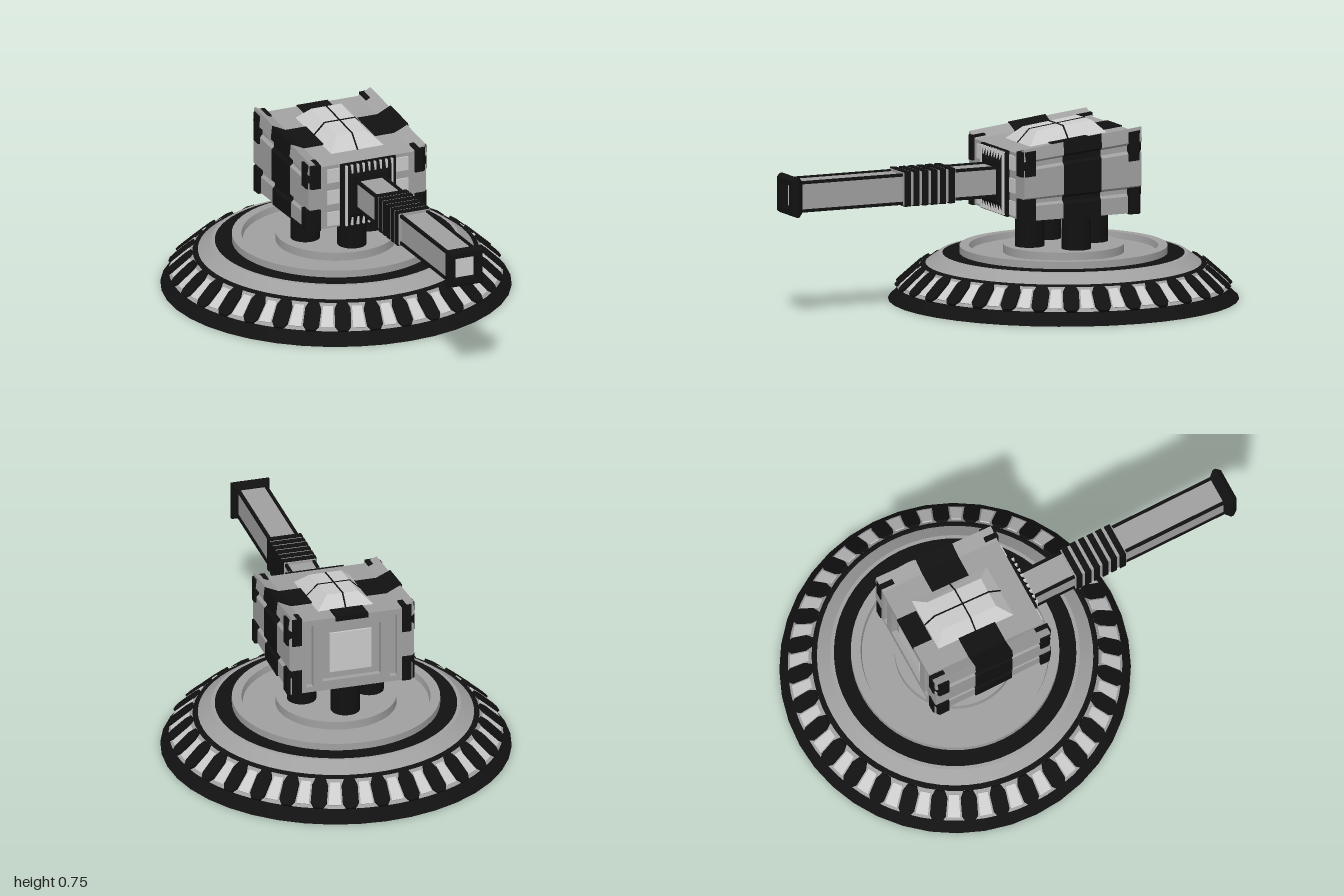
import * as THREE from 'three';
import { toCreasedNormals } from 'three/addons/utils/BufferGeometryUtils.js';

const paint = (color) => new THREE.MeshStandardMaterial({ color, flatShading: true });
const smooth = (color) => new THREE.MeshStandardMaterial({ color });
const GREY = paint(0xa0a0a0), LIGHT = paint(0xcccccc), BLACK = paint(0x111111);
const GREY_S = smooth(0xa0a0a0), BLACK_S = smooth(0x111111);
const CENTER = -0.275;

function add(parent, name, geo, mat) {
  const m = new THREE.Mesh(geo, mat);
  m.name = name;
  parent.add(m);
  return m;
}

// Box given by its limits
const block = (x0, x1, y0, y1, z0, z1) =>
  new THREE.BoxGeometry(x1 - x0, y1 - y0, z1 - z0)
    .translate((x0 + x1) / 2, (y0 + y1) / 2, (z0 + z1) / 2);

// Box whose upper face has its own limits
function frustum([x0, x1, z0, z1], [u0, u1, w0, w1], y0, y1) {
  const g = new THREE.BoxGeometry(1, 1, 1), p = g.attributes.position;
  for (let i = 0; i < p.count; i++) {
    const top = p.getY(i) > 0, r = p.getX(i) > 0, f = p.getZ(i) > 0;
    p.setXYZ(i, top ? (r ? u1 : u0) : (r ? x1 : x0), top ? y1 : y0,
      top ? (f ? w1 : w0) : (f ? z1 : z0));
  }
  g.computeVertexNormals();
  return g;
}

// The housing grows taller towards the back
function bend(g) {
  const p = g.attributes.position;
  for (let i = 0; i < p.count; i++) {
    const t = (0.03 - p.getZ(i)) / 0.53;
    p.setY(i, 0.38 + (p.getY(i) - 0.38) * (1 + 0.2 * t));
  }
  g.computeVertexNormals();
  return g;
}

const polygon = (pts) => new THREE.Shape(pts.map(([x, y]) => new THREE.Vector2(x, y)));
const rectHole = (x0, x1, y0, y1) =>
  new THREE.Path([[x0, y0], [x0, y1], [x1, y1], [x1, y0]].map((q) => new THREE.Vector2(...q)));
const extrude = (shape, z0, z1) =>
  new THREE.ExtrudeGeometry(shape, { depth: z1 - z0, bevelEnabled: false }).translate(0, 0, z0);
const lathe = (pts, seg, angle = 0.45) => toCreasedNormals(
  new THREE.LatheGeometry(pts.map(([x, y]) => new THREE.Vector2(x, y)), seg), angle);

// Housing cross-section, right half, mirrored
function housingShape(sx = 1, sy = 1) {
  const half = [[0.262, 0.38], [0.262, 0.44], [0.252, 0.45], [0.252, 0.465], [0.267, 0.475],
    [0.267, 0.59], [0.255, 0.6], [0.255, 0.62], [0.27, 0.63], [0.264, 0.68], [0.205, 0.655]]
    .map(([x, y]) => [x * sx, 0.38 + (y - 0.38) * sy - (sy - 1) * 0.15]);
  return polygon([...half, ...half.map(([x, y]) => [-x, y]).reverse()]);
}

function makeBase() {
  const g = new THREE.Group();
  g.name = 'base';
  g.position.z = CENTER;
  add(g, 'skirt', lathe([[0, 0], [0.725, 0], [0.665, 0.055]], 40, 0.3), BLACK_S);
  add(g, 'slopedRing', lathe([[0.66, 0.05], [0.69, 0.055], [0.592, 0.143]], 64), GREY_S);
  add(g, 'blackLip', lathe([[0.592, 0.143], [0.585, 0.148], [0.57, 0.15]], 64), BLACK_S);
  add(g, 'upperSlope', lathe([[0.57, 0.15], [0.515, 0.19], [0.5, 0.191]], 64), GREY_S);
  add(g, 'blackBand', lathe([[0.5, 0.191], [0.425, 0.192]], 64), BLACK_S);
  add(g, 'turntable', lathe([[0.43, 0.19], [0.43, 0.222], [0.39, 0.222], [0.385, 0.195],
    [0.25, 0.195], [0.25, 0.23], [0, 0.23]], 64), GREY_S);

  // Alternating black lugs and light panels around the slope
  const lug = extrude(polygon([[-0.02, -0.066], [0.02, -0.066], [0.033, -0.045], [0.033, 0.035],
    [0.02, 0.066], [-0.02, 0.066], [-0.033, 0.035], [-0.033, -0.045]]), -0.006, 0.01);
  const panel = extrude(polygon([[-0.026, -0.05], [0.026, -0.05], [0.02, 0.05], [-0.02, 0.05]]),
    -0.006, 0.004);
  for (let i = 0; i < 64; i++) {
    const holder = new THREE.Group();
    holder.name = i % 2 ? 'slopePanel' : 'slopeLug';
    holder.rotation.y = (i / 64) * Math.PI * 2;
    const m = add(holder, holder.name, i % 2 ? panel : lug, i % 2 ? LIGHT : BLACK);
    m.position.set(0, 0.099, 0.641);
    m.rotation.x = -0.84;
    g.add(holder);
  }
  // Four pillars in a diamond
  for (let i = 0; i < 4; i++) {
    const a = (i * Math.PI) / 2;
    add(g, 'pillar', new THREE.CylinderGeometry(0.061, 0.061, 0.17, 24), BLACK_S)
      .position.set(0.145 * Math.sin(a), 0.305, 0.01 + 0.145 * Math.cos(a));
  }
  return g;
}

function makeHousing() {
  const g = new THREE.Group();
  g.name = 'housing';
  add(g, 'shell', bend(extrude(housingShape(), -0.48, 0.03)), GREY);
  add(g, 'blackStripe', bend(extrude(housingShape(1.022, 1.03), -0.32, -0.15)), BLACK);

  // Back frame with a recessed panel and side slots
  const frame = housingShape();
  frame.holes.push(rectHole(-0.125, 0.125, 0.415, 0.615));
  for (const s of [-1, 1]) {
    const [a, b] = [s * 0.165, s * 0.195].sort((p, q) => p - q);
    frame.holes.push(rectHole(a, b, 0.4, 0.635));
  }
  add(g, 'backFrame', bend(extrude(frame, -0.505, -0.48)), GREY);
  add(g, 'backPanel', bend(block(-0.09, 0.09, 0.44, 0.59, -0.49, -0.475)), LIGHT);
  add(g, 'roofBackPatch', bend(frustum([-0.07, 0.07, -0.508, -0.42],
    [-0.07, 0.07, -0.508, -0.42], 0.64, 0.659)), BLACK);

  // Roof hatch with a dark cross
  add(g, 'roofHatch', bend(frustum([-0.125, 0.125, -0.42, -0.06],
    [-0.068, 0.068, -0.37, -0.12], 0.65, 0.7)), LIGHT);
  add(g, 'hatchSeamLong', bend(frustum([-0.003, 0.003, -0.423, -0.057],
    [-0.003, 0.003, -0.372, -0.118], 0.65, 0.702)), BLACK);
  add(g, 'hatchSeamCross', bend(frustum([-0.128, 0.128, -0.243, -0.237],
    [-0.07, 0.07, -0.243, -0.237], 0.65, 0.702)), BLACK);

  // Corner guards, mirrored; each a prism with one cut corner
  for (const s of [-1, 1]) {
    for (const [zIn, zOut] of [[-0.02, 0.04], [-0.445, -0.51]]) {
      const d = Math.sign(zOut - zIn);
      const pts = [[0.215, zOut], [0.25, zOut], [0.275, zOut - d * 0.02], [0.275, zIn], [0.215, zIn]]
        .map(([x, z]) => [s * x, -z]);
      for (const [y0, y1] of [[0.378, 0.47], [0.565, 0.668]]) {
        const geo = extrude(polygon(pts), y0, y1).rotateX(-Math.PI / 2);
        add(g, 'cornerGuard', bend(geo), BLACK);
      }
    }
    for (const y of [0.42, 0.515, 0.61])
      add(g, 'frontPanel', block(s * 0.157 - 0.027, s * 0.157 + 0.027, y - 0.03, y + 0.03, 0.02, 0.036), LIGHT);
  }

  // Collar around the barrel root with upright bars
  add(g, 'collar', block(-0.125, 0.125, 0.38, 0.655, 0.02, 0.042), BLACK);
  add(g, 'collarBoss', frustum([-0.12, 0.12, -0.655, -0.38], [-0.08, 0.08, -0.6, -0.435], 0.04, 0.06)
    .rotateX(Math.PI / 2).translate(0, 0, 0), BLACK);
  for (let i = -4; i <= 4; i++) {
    const x = i * 0.026, outer = Math.abs(i) === 4;
    const spans = outer ? [[0.385, 0.65]] : [[0.385, 0.44], [0.598, 0.65]];
    for (const [y0, y1] of spans)
      add(g, 'collarBar', block(x - 0.004, x + 0.004, y0, y1, 0.03, 0.055), LIGHT);
  }
  return g;
}

function makeBarrel() {
  const g = new THREE.Group();
  g.name = 'barrel';
  g.position.y = 0.518;
  add(g, 'barrelCore', block(-0.058, 0.058, -0.058, 0.058, 0.02, 0.955), GREY);
  add(g, 'boreEnd', block(-0.05, 0.05, -0.05, 0.05, 0.9, 0.958), LIGHT);
  for (const x of [-1, 1]) for (const y of [-1, 1])
    add(g, 'edgeRail', block(x * 0.059 - 0.006, x * 0.059 + 0.006,
      y * 0.059 - 0.006, y * 0.059 + 0.006, 0.03, 0.955), BLACK);
  // Ribbed sleeve
  add(g, 'sleeve', block(-0.068, 0.068, -0.068, 0.068, 0.25, 0.487), GREY);
  for (let i = 0; i < 6; i++) {
    const z = 0.268 + i * 0.0402;
    add(g, 'sleeveRib', block(-0.073, 0.073, -0.073, 0.073, z - 0.013, z + 0.013), BLACK);
  }
  // Hollow square muzzle
  const R = Math.SQRT2;
  const ring = [[0.05, 0.945], [0.064, 0.945], [0.082, 0.968], [0.082, 0.98], [0.07, 1],
    [0.05, 1], [0.05, 0.945]].map(([r, z]) => new THREE.Vector2(r * R, z));
  add(g, 'muzzle', new THREE.LatheGeometry(ring, 4, Math.PI / 4).rotateX(Math.PI / 2), BLACK);
  return g;
}

export function createModel() {
  const model = new THREE.Group();
  model.name = 'turret';
  model.add(makeBase(), makeHousing(), makeBarrel());
  return model;
}
